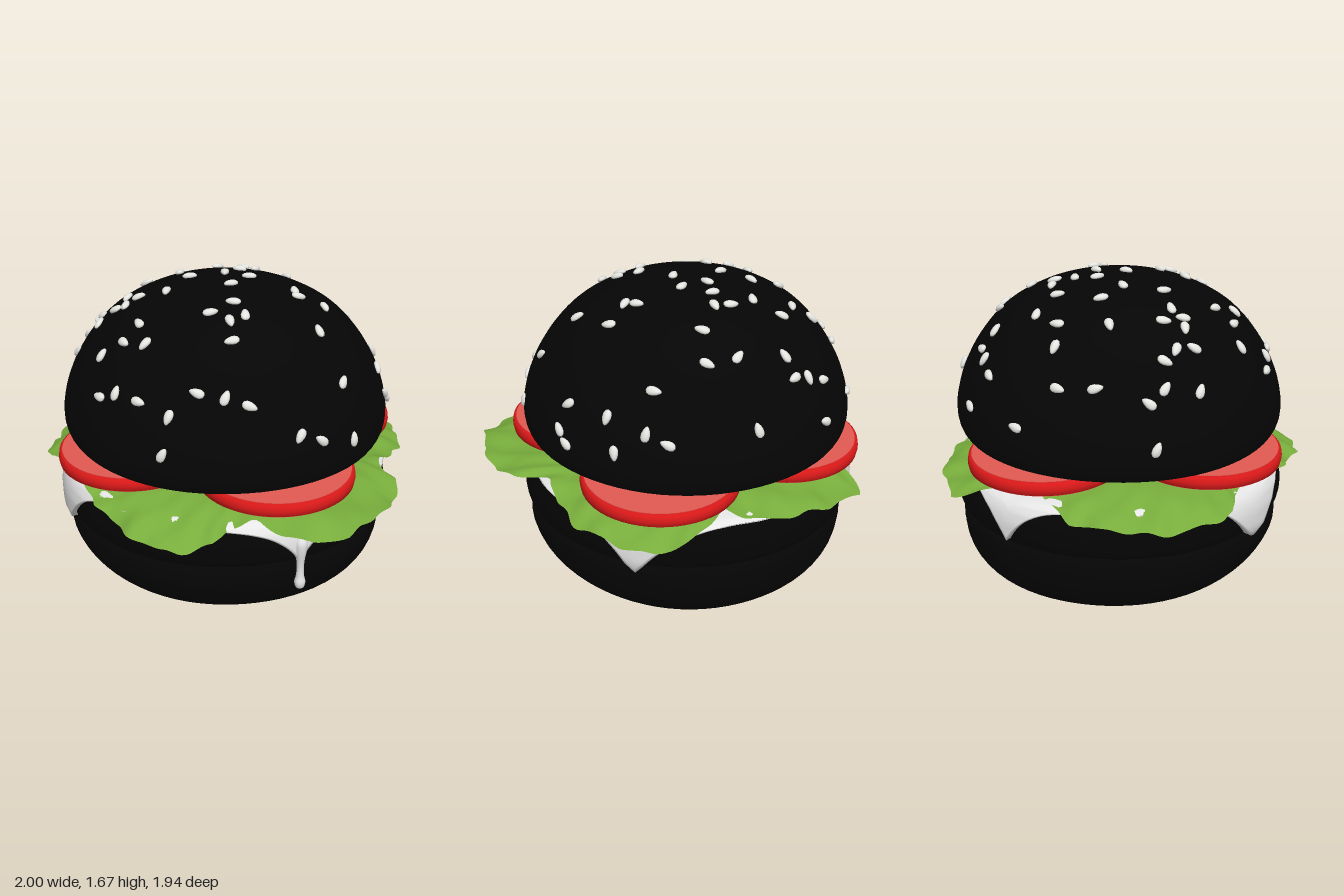
import * as THREE from 'three';

const mat = (name, color, side = THREE.FrontSide) => {
  const m = new THREE.MeshStandardMaterial({ color, side });
  m.name = name;
  return m;
};
const CX = -0.02, CZ = -0.025; // common axis of the buns and patty
const DEG = Math.PI / 180;

function addMesh(parent, name, geometry, material) {
  const mesh = new THREE.Mesh(geometry, material);
  mesh.name = name;
  parent.add(mesh);
  return mesh;
}

// Linear lookup in rows sorted by their first column
function lookup(rows, key, col) {
  let i = 1;
  while (i < rows.length - 1 && rows[i][0] < key) i++;
  const a = rows[i - 1], b = rows[i];
  const t = THREE.MathUtils.clamp((key - a[0]) / (b[0] - a[0]), 0, 1);
  return a[col] + (b[col] - a[col]) * t;
}

// Smooth curve through profile points [radius, y], listed bottom to top
function smoothProfile(points, n = 60) {
  const curve = new THREE.CatmullRomCurve3(points.map(([r, y]) => new THREE.Vector3(r, y, 0)), false, 'centripetal');
  return curve.getPoints(n).map(p => new THREE.Vector2(Math.max(p.x, 0), p.y));
}

// Turned body with a slight hand-made unevenness; lean shifts its underside back
function roundBody(points, wobble, lean = 0) {
  const geo = new THREE.LatheGeometry(smoothProfile(points), 72);
  const p = geo.attributes.position;
  for (let i = 0; i < p.count; i++) {
    const x = p.getX(i), y = p.getY(i), z = p.getZ(i), a = Math.atan2(z, x);
    const k = 1 + wobble * (Math.sin(3 * a + 1) + 0.6 * Math.sin(5 * a));
    p.setXYZ(i, x * k, y, z * k - lean * Math.max(0, 1 - y / 0.35));
  }
  geo.computeVertexNormals();
  geo.translate(CX, 0, CZ);
  return geo;
}

// Closed ring sheet: fn(row, angle) gives each point, rows running outward
function ringSheet(rows, cols, fn) {
  const pos = [], idx = [];
  for (let r = 0; r <= rows; r++)
    for (let c = 0; c < cols; c++) {
      pos.push(...fn(r, (c / cols) * Math.PI * 2));
      if (r === rows) continue;
      const a = r * cols + c, b = r * cols + (c + 1) % cols;
      idx.push(a, b, a + cols, b, b + cols, a + cols);
    }
  const geo = new THREE.BufferGeometry();
  geo.setAttribute('position', new THREE.Float32BufferAttribute(pos, 3));
  geo.setIndex(idx);
  geo.computeVertexNormals();
  return geo;
}

const TOP_BUN = [[0, 0.845], [0.72, 0.845], [0.81, 0.862], [0.845, 0.91], [0.855, 1.0], [0.825, 1.14],
  [0.77, 1.265], [0.69, 1.385], [0.605, 1.475], [0.52, 1.535], [0.38, 1.602], [0.2, 1.647], [0, 1.657]];
const BOTTOM_BUN = [[0, 0.01], [0.35, 0.008], [0.52, 0.035], [0.66, 0.095], [0.755, 0.17],
  [0.82, 0.265], [0.85, 0.38], [0.835, 0.445], [0.77, 0.475], [0, 0.48]];
const PATTY = [[0, 0.46], [0.79, 0.46], [0.85, 0.475], [0.872, 0.53], [0.868, 0.61],
  [0.84, 0.67], [0.76, 0.707], [0, 0.712]];

// Lettuce outline: [angle in degrees, radius, droop of the edge]
const LEAF = [[0, 0.88, 0.02], [3, 0.95, 0.02], [11, 1.02, 0.03], [25, 1.06, 0.04], [36, 1.08, 0.05],
  [44, 1.04, 0.06], [51, 0.93, 0.06], [57, 0.82, 0.05], [67, 0.82, 0.07], [72, 0.91, 0.1], [78, 0.95, 0.12],
  [87, 0.97, 0.14], [99, 0.94, 0.12], [106, 0.89, 0.09], [116, 0.88, 0.07], [130, 0.84, 0.05],
  [140, 0.79, 0.03], [148, 0.86, 0.05], [154, 0.97, 0.09], [165, 0.98, 0.1], [177, 0.99, 0.1],
  [189, 0.97, 0.1], [203, 0.94, 0.08], [210, 0.85, 0.04], [225, 0.79, 0.03], [235, 0.95, 0.04],
  [241, 1.05, 0.07], [247, 1.02, 0.07], [258, 0.98, 0.07], [270, 0.91, 0.05], [279, 0.87, 0.04],
  [286, 0.79, 0.03], [293, 0.89, 0.05], [303, 0.99, 0.09], [313, 1.02, 0.11], [332, 0.96, 0.08],
  [353, 0.83, 0.02], [360, 0.88, 0.02]];

// Cheese corners: [angle in degrees, drop, angular width, sharpness]
const CORNERS = [[43.5, 0.22, 0.15, 0.95], [136.5, 0.255, 0.2, 1.7], [225, 0.2, 0.13, 1.1], [318, 0.265, 0.17, 1.15]];
const PATTY_SIDE = [[0.44, 0.85], [0.5, 0.872], [0.6, 0.87], [0.66, 0.855], [0.7, 0.83], [0.72, 0.79], [0.73, 0.72]];

// Seed positions seen from above, as x, z pairs
const SEEDS = [-.34, -.8, .08, -.83, -.39, -.7, -.28, -.72, -.19, -.73, -.18, -.66, .07, -.63, .22, -.6, -.64, -.59,
  .16, -.46, -.68, -.39, -.54, -.39, -.43, -.37, -.3, -.46, -.2, -.35, -.06, -.37, .02, -.35, -.03, -.25, -.74, -.22,
  -.52, -.13, -.33, -.15, -.22, -.03, -.07, -.14, .07, -.13, .32, -.12, .36, -.07, .48, -.13, .03, .02, .53, .11,
  -.8, .02, -.76, .1, -.68, .11, -.63, .17, -.6, .26, -.73, .27, -.5, .13, -.52, .23, -.46, .23, -.41, .18, -.26, .17,
  .12, .21, .21, .28, .05, .33, .16, .35, .21, .45, -.29, .42, -.45, .52, -.33, .51, -.2, .54, -.39, .67, -.29, .69,
  -.15, .73, .02, .76, .13, .68, .26, .65, .37, .62, .59, .53, .67, .45, .69, .21, .66, -.43, .48, -.68, .55, -.6,
  .47, -.54, .67, -.51, .75, -.21, .8, -.2, .8, .28, .01, .82, -.88, .05, .81, -.26];

export function createModel() {
  const bun = mat('black bun', 0x050505);
  const meat = mat('dark patty', 0x040404);
  const seedMat = mat('sesame white', 0xe4e4e0);
  const sauce = mat('white cheese', 0xe6e6e6, THREE.DoubleSide);
  const leaf = mat('lettuce green', 0x78ad3c, THREE.DoubleSide);
  const skin = mat('tomato red', 0xe01a1a);
  const flesh = mat('tomato flesh', 0xe25a52);
  const burger = new THREE.Group();
  burger.name = 'burger';

  addMesh(burger, 'bottomBun', roundBody(BOTTOM_BUN, 0.006, 0.05), bun);
  addMesh(burger, 'patty', roundBody(PATTY, 0.003), meat);
  addMesh(burger, 'topBun', roundBody(TOP_BUN, 0.004), bun);

  // Melted cheese hugging the patty, sagging at four corners
  const cheeseEdge = a => {
    let y = 0.703;
    for (const [deg, drop, width, sharp] of CORNERS) {
      const d = Math.abs(Math.atan2(Math.sin(a - deg * DEG), Math.cos(a - deg * DEG)));
      y -= drop * Math.exp(-Math.pow(d / width, sharp));
    }
    return y + 0.005 * Math.sin(9 * a);
  };
  const rows = 12;
  addMesh(burger, 'cheese', ringSheet(rows, 240, (row, a) => {
    let r = 0.4, y = 0.735;
    if (row > 0) {
      const t = Math.min((row - 1) / (rows - 2), 1);
      y = 0.73 - (0.73 - cheeseEdge(a)) * t;
      r = lookup(PATTY_SIDE, y, 1) + (row === rows ? -0.01 : 0.026);
    }
    return [CX + r * Math.cos(a), y, CZ + r * Math.sin(a)];
  }), sauce);

  // Long drip with a bulb at its end
  const drip = smoothProfile([[0, 0.325], [0.02, 0.335], [0.028, 0.365], [0.021, 0.4], [0.018, 0.45], [0.022, 0.5], [0.03, 0.55], [0.03, 0.6], [0, 0.65]], 30);
  addMesh(burger, 'cheeseDrip', new THREE.LatheGeometry(drip, 16), sauce).position.set(0.63, 0, 0.58);

  // Lettuce sheet with a lobed, drooping and crinkled edge
  const leafRows = 18;
  addMesh(burger, 'lettuce', ringSheet(leafRows, 300, (row, a) => {
    const t = row / leafRows, deg = a / DEG;
    const edge = lookup(LEAF, deg, 1) + 0.008 * Math.sin(23 * a) + 0.006 * Math.sin(41 * a + 1);
    const r = 0.3 + (edge - 0.3) * t;
    const crinkle = t * t * (0.011 * Math.sin(11 * a + 9 * t) + 0.009 * Math.sin(27 * a - 14 * t));
    const y = 0.768 - lookup(LEAF, deg, 2) * Math.pow(t, 4) + crinkle;
    return [r * Math.cos(a), y, r * Math.sin(a)];
  }), leaf);

  // Four tomato slices: red skin with paler cut faces
  const rim = [[0, -0.036], [0.385, -0.036], [0.398, -0.028], [0.403, 0], [0.398, 0.028], [0.385, 0.036], [0, 0.036]]
    .map(([r, y]) => new THREE.Vector2(r, y));
  const slices = [[-0.365, 0.806, 0.37, 0.01, 0.02], [0.4, 0.815, 0.33, 0.01, 0],
    [0.37, 0.805, -0.42, -0.02, 0], [-0.36, 0.815, -0.43, -0.01, 0.01]];
  for (const [x, y, z, rx, rz] of slices) {
    const slice = new THREE.Group();
    slice.name = 'tomatoSlice';
    addMesh(slice, 'tomatoSkin', new THREE.LatheGeometry(rim, 56), skin);
    for (const s of [1, -1]) {
      const face = addMesh(slice, 'tomatoFace', new THREE.CylinderGeometry(0.383, 0.383, 0.004, 56), flesh);
      face.position.y = s * 0.037;
    }
    slice.position.set(x, y, z);
    slice.rotation.set(rx, 0, rz);
    burger.add(slice);
  }

  // Sesame seeds laid on the dome, each turned its own way
  const dome = smoothProfile(TOP_BUN, 160).filter(p => p.y > 0.98).reverse().map(p => [p.x, p.y]);
  const seedGeo = new THREE.SphereGeometry(1, 12, 8);
  const sp = seedGeo.attributes.position;
  for (let i = 0; i < sp.count; i++) {
    const taper = 1 - 0.3 * sp.getX(i);
    sp.setXYZ(i, sp.getX(i) * 0.039, sp.getY(i) * 0.016, sp.getZ(i) * 0.022 * taper);
  }
  seedGeo.computeVertexNormals();
  const seeds = new THREE.Group();
  seeds.name = 'sesameSeeds';
  burger.add(seeds);
  const up = new THREE.Vector3(0, 1, 0);
  for (let i = 0; i < SEEDS.length; i += 2) {
    const dx = SEEDS[i] - CX, dz = SEEDS[i + 1] - CZ;
    const r = Math.min(Math.hypot(dx, dz), 0.85), a = Math.atan2(dz, dx);
    const slope = (lookup(dome, r - 0.01, 1) - lookup(dome, r + 0.004, 1)) / 0.014;
    const normal = new THREE.Vector3(Math.cos(a) * slope, 1, Math.sin(a) * slope).normalize();
    const seed = addMesh(seeds, 'seed', seedGeo, seedMat);
    seed.position.set(CX + r * Math.cos(a), lookup(dome, r, 1), CZ + r * Math.sin(a)).addScaledVector(normal, 0.007);
    seed.quaternion.setFromUnitVectors(up, normal);
    seed.rotateY(i * 2.4);
  }
  return burger;
}
